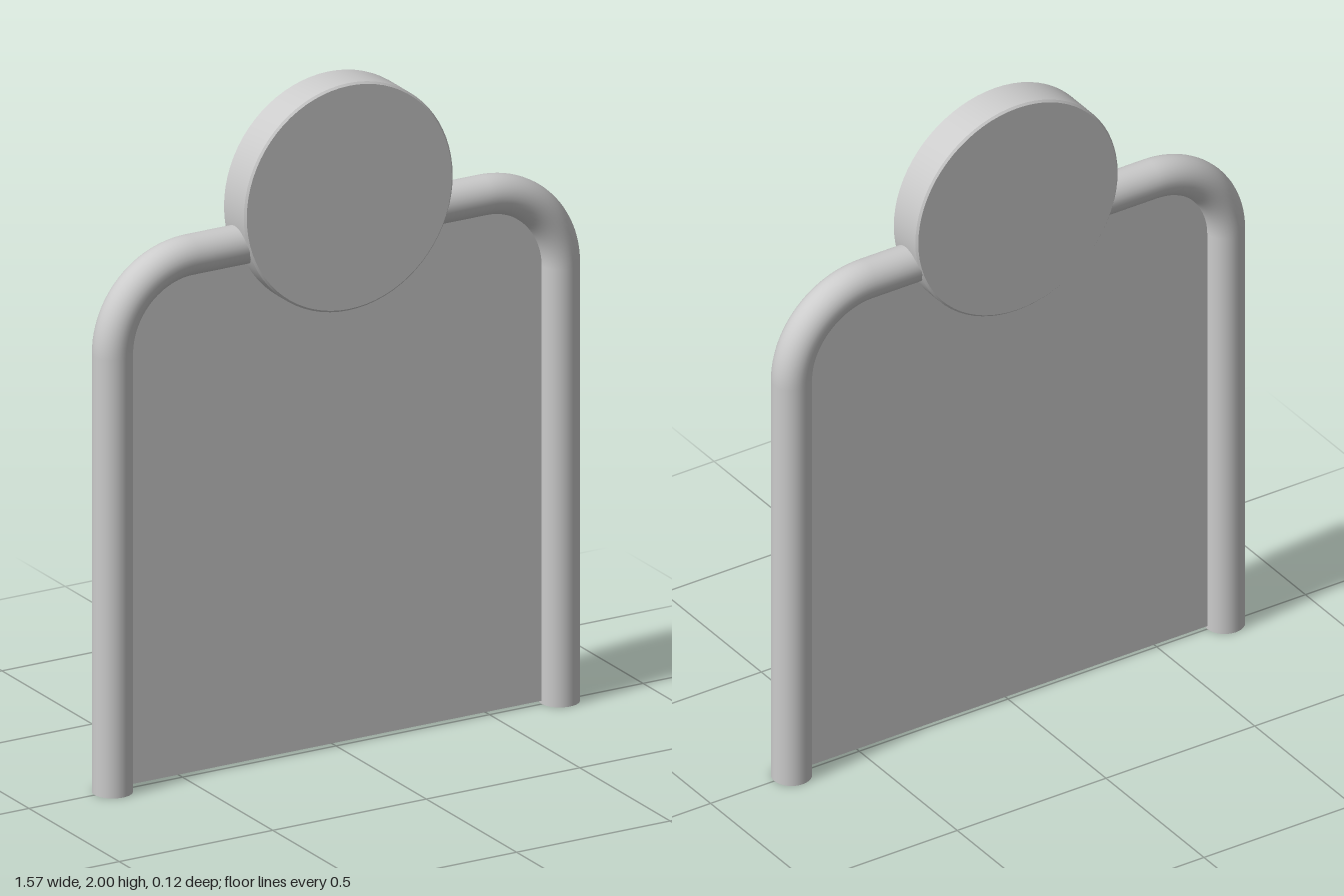
import * as THREE from 'three';
import { toCreasedNormals } from 'three/addons/utils/BufferGeometryUtils.js';

const HALF_WIDTH = 0.728; // tube centreline
const TOP = 1.56;
const TUBE = 0.058;
const BEND = 0.25;

export function createModel() {
  const model = new THREE.Group();
  const material = new THREE.MeshStandardMaterial({ color: 0xcccccc });
  const thin = new THREE.MeshStandardMaterial({ color: 0xcccccc, side: THREE.DoubleSide });

  const add = (parent, name, geometry, x, y, z = 0, mat = material) => {
    const mesh = new THREE.Mesh(geometry, mat);
    mesh.name = name;
    mesh.position.set(x, y, z);
    parent.add(mesh);
    return mesh;
  };

  // Bent tube frame: two uprights, two quarter bends and a top bar
  const frame = new THREE.Group();
  frame.name = 'tubeFrame';
  model.add(frame);
  const bendX = HALF_WIDTH - BEND;
  const bendY = TOP - BEND;
  for (const side of [1, -1]) {
    const label = side > 0 ? 'left' : 'right';
    add(frame, label + 'Upright', new THREE.CylinderGeometry(TUBE, TUBE, bendY, 32), side * HALF_WIDTH, bendY / 2);
    const bend = add(frame, label + 'Bend', new THREE.TorusGeometry(BEND, TUBE, 32, 24, Math.PI / 2), side * bendX, bendY);
    if (side < 0) bend.rotation.z = Math.PI / 2;
  }
  const bar = add(frame, 'topBar', new THREE.CylinderGeometry(TUBE, TUBE, bendX * 2, 32), 0, TOP);
  bar.rotation.z = Math.PI / 2;

  // Thin panel filling the frame, its edge hidden along the tube centreline
  const outline = new THREE.Shape();
  outline.moveTo(-HALF_WIDTH, 0.01);
  outline.lineTo(HALF_WIDTH, 0.01);
  outline.lineTo(HALF_WIDTH, bendY);
  outline.absarc(bendX, bendY, BEND, 0, Math.PI / 2, false);
  outline.lineTo(-bendX, TOP);
  outline.absarc(-bendX, bendY, BEND, Math.PI / 2, Math.PI, false);
  add(model, 'panel', new THREE.ShapeGeometry(outline, 24), 0, 0, 0, thin);

  // Round sign disc with a slightly eased rim
  const radius = 0.34, half = 0.061, ease = 0.006;
  const profile = [
    [0, -half], [radius - ease, -half], [radius, -half + ease],
    [radius, half - ease], [radius - ease, half], [0, half],
  ].map(([r, y]) => new THREE.Vector2(r, y));
  const discGeometry = toCreasedNormals(new THREE.LatheGeometry(profile, 72), 0.5);
  const disc = add(model, 'signDisc', discGeometry, 0.007, 1.66, 0.001);
  disc.rotation.x = Math.PI / 2;

  return model;
}
